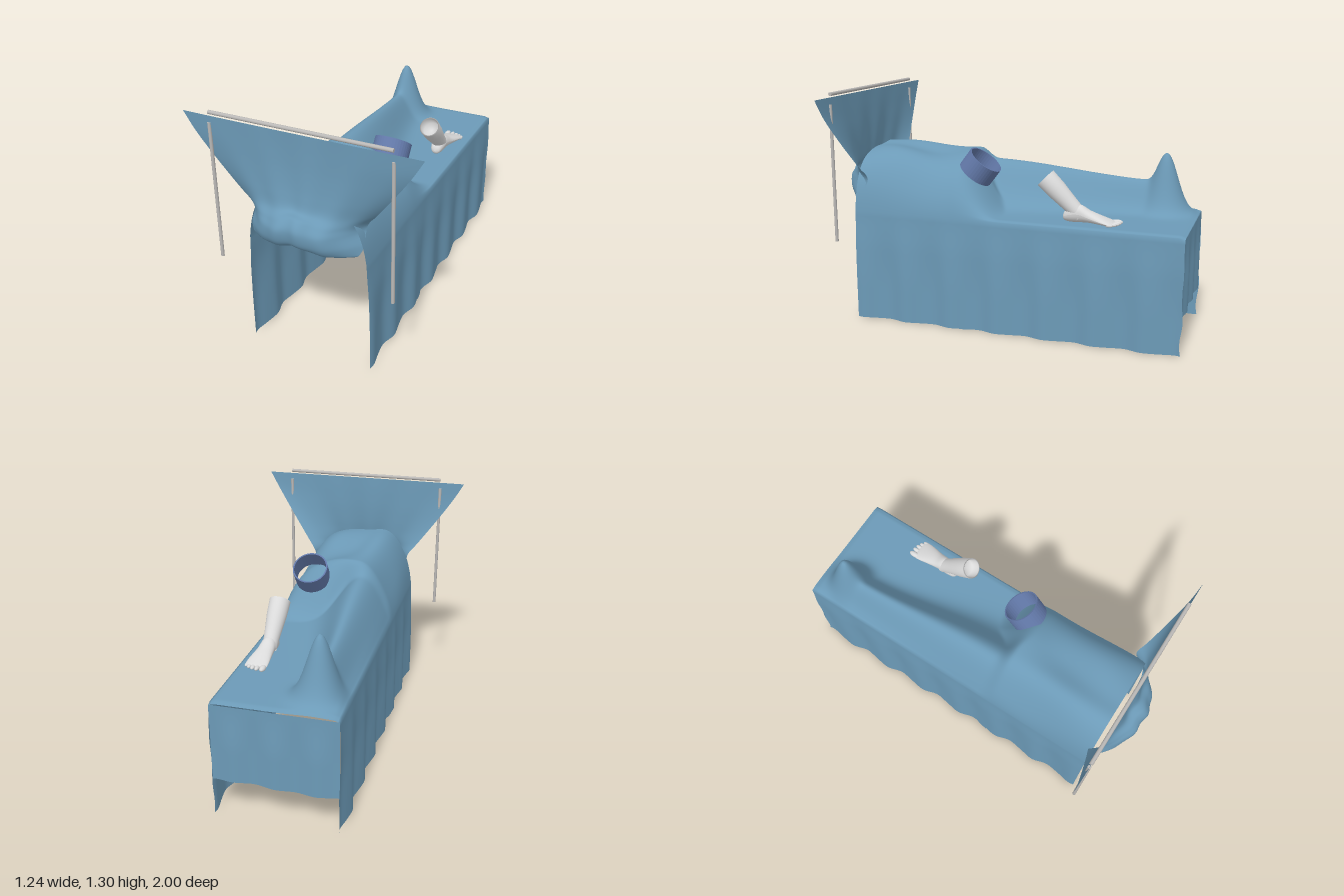
import * as THREE from 'three';

const lerp = THREE.MathUtils.lerp;
const step = THREE.MathUtils.smoothstep;

// Smooth surface from a rule: fn(u, v) -> [x, y, z]
function surface(nu, nv, fn) {
  const pos = [], idx = [];
  for (let j = 0; j <= nv; j++)
    for (let i = 0; i <= nu; i++) pos.push(...fn(i / nu, j / nv));
  for (let j = 0; j < nv; j++)
    for (let i = 0; i < nu; i++) {
      const a = j * (nu + 1) + i, b = a + 1, c = a + nu + 1, d = c + 1;
      idx.push(a, c, b, b, c, d);
    }
  const g = new THREE.BufferGeometry();
  g.setAttribute('position', new THREE.Float32BufferAttribute(pos, 3));
  g.setIndex(idx);
  g.computeVertexNormals();
  return g;
}

// Smoothly sampled table of cross-sections
function sampler(rows) {
  return (t) => {
    const f = t * (rows.length - 1);
    const i = Math.min(Math.floor(f), rows.length - 2), k = f - i;
    const at = (n) => rows[THREE.MathUtils.clamp(n, 0, rows.length - 1)];
    return rows[0].map((_, c) => {
      const [p, q, r, s] = [at(i - 1)[c], at(i)[c], at(i + 1)[c], at(i + 2)[c]];
      return q + 0.5 * k * (r - p + k * (2 * p - 5 * q + 4 * r - s + k * (3 * (q - r) + s - p)));
    });
  };
}

const TABLE = 0.63, HALF = 0.322, BACK = -0.985, FRONT = 0.85;

// Height of the cloth over the table: torso, covered leg, upright foot
function clothHeight(x, z) {
  const q = Math.min(Math.abs(x) / HALF, 1);
  const side = step(x, -0.08, 0.06);
  const gate = step(z, lerp(0.1, 0.0, side), lerp(0.26, 0.29, side));
  const p = lerp(2.2, 4, step(z, 0.3, 0.85));
  const crest = 0.305 + 0.012 * Math.sin(z * 11) + 0.008 * Math.sin(x * 17 + z * 9);
  const torso = gate * crest * Math.pow(1 - Math.pow(q, p), 0.75);

  const t = step(z, -0.75, 0.2);
  const w = lerp(0.085, 0.16, t);
  const leg = lerp(0.175, 0.25, t) * Math.exp(-Math.pow((x + lerp(0.19, 0.15, t)) / w, 2))
    * step(z, -0.9, -0.72) * (1 - Math.pow(q, 8));
  const foot = 0.333 * Math.exp(-((x + 0.18) ** 2 + (z + 0.8) ** 2) / 0.0081) * (1 - Math.pow(q, 8));
  return TABLE + Math.pow(torso ** 4 + leg ** 4 + foot ** 4, 0.25);
}

// Half width of the hanging cloth, with folds that deepen toward the hem
function hangX(y, z) {
  const d = 1 - y / TABLE;
  return HALF + 0.007 * step(d, 0, 0.35)
    + 0.011 * step(d, 0, 0.7) * Math.cos(z * 23.3) + 0.002 * d * Math.sin(z * 47);
}

function drapePoint(u, v) {
  const z = lerp(BACK, FRONT, v);
  if (u >= 0.2 && u <= 0.8) {
    const x = lerp(-HALF, HALF, (u - 0.2) / 0.6);
    const edge = step(Math.abs(x), HALF - 0.03, HALF) * 0.008;
    return [x, clothHeight(x, z) - edge - 0.008 * (1 - step(z, BACK, BACK + 0.03)), z];
  }
  const s = u < 0.5 ? -1 : 1;
  const y = (TABLE - 0.008) * (u < 0.5 ? u : 1 - u) / 0.2;
  const ripple = 0.008 * Math.sin(y * 25) * (1 - step(v, 0, 0.02)) * (1 - y / TABLE);
  return [s * hangX(y, z), y, z + ripple];
}

// Cloth screen, rows from the top edge down to the curled lip:
// height, half width, centre z, edge z, centre lift
const screenRow = sampler([
  [1.268, 0.618, 0.89, 0.89, 0],
  [1.17, 0.56, 0.888, 0.88, 0],
  [1.06, 0.485, 0.89, 0.855, 0],
  [0.95, 0.405, 0.9, 0.825, 0],
  [0.87, 0.345, 0.918, 0.8, 0.01],
  [0.82, 0.305, 0.965, 0.78, 0.04],
  [0.78, 0.292, 0.995, 0.785, 0.03],
  [0.72, 0.3, 0.985, 0.82, 0.02],
  [0.675, 0.285, 0.95, 0.85, 0.03],
  [0.665, 0.26, 0.905, 0.86, 0.035],
  [0.69, 0.25, 0.875, 0.865, 0.03],
]);

function screenPoint(u, v) {
  const [y, w, zc, ze, lift] = screenRow(v);
  const s = u * 2 - 1, a = Math.abs(s);
  const edge = s < 0 ? lerp(0.88, ze, 0.5) : ze;
  const fold = Math.sin(v * Math.PI) * (1 - a) * 0.007 * Math.sin(s * 15);
  return [s * w, y + lift * Math.exp(-((s / 0.33) ** 2)), lerp(zc, edge, Math.pow(a, 2.6)) + fold];
}

// Bare foot, heel to toes: z, half width, sole, instep, centre x
const footRow = sampler([
  [-0.325, 0.003, 0.655, 0.664, 0.205],
  [-0.335, 0.026, 0.639, 0.69, 0.205],
  [-0.37, 0.038, 0.633, 0.722, 0.206],
  [-0.42, 0.04, 0.635, 0.728, 0.208],
  [-0.47, 0.045, 0.637, 0.702, 0.212],
  [-0.52, 0.053, 0.635, 0.683, 0.217],
  [-0.57, 0.059, 0.633, 0.664, 0.22],
  [-0.6, 0.052, 0.633, 0.652, 0.22],
  [-0.606, 0.003, 0.64, 0.645, 0.22],
]);

function footPoint(u, v) {
  const [z, w, lo, hi, xc] = footRow(v);
  const a = u * Math.PI * 2;
  return [xc + w * Math.cos(a), (lo + hi) / 2 + (hi - lo) / 2 * Math.sin(a), z];
}

export function createModel() {
  const model = new THREE.Group();
  const mat = (name, color, open) => {
    const m = new THREE.MeshStandardMaterial({ color });
    m.name = name;
    if (open) m.side = THREE.DoubleSide;
    return m;
  };
  const cloth = mat('blue cloth', 0x6c9ab7, true);
  const cuffBlue = mat('cuff blue', 0x6278a8, true);
  const skin = mat('pale skin', 0xdadada, true);
  const metal = mat('pole grey', 0xbab8b6);

  const add = (name, geo, material, parent = model) => {
    const m = new THREE.Mesh(geo, material);
    m.name = name;
    parent.add(m);
    return m;
  };

  // Main drape over the table, with the hanging end
  add('bodyDrape', surface(110, 150, drapePoint), cloth);
  add('endDrape', surface(60, 24, (u, v) => {
    const x = lerp(HALF, -HALF, u), y = lerp(TABLE - 0.014, 0.2 + 0.006 * Math.sin(x * 9), v);
    return [x, y, BACK - 0.012 * step(v, 0, 0.6) * (0.4 + 0.6 * Math.cos(x * 30))];
  }), cloth);

  // Overlapping seam strip on each side
  for (const s of [-1, 1])
    add(s < 0 ? 'rightSeamStrip' : 'leftSeamStrip', surface(6, 20, (u, v) => {
      const z = 0.16 + 0.06 * u, y = 0.6 * (1 - v);
      return [s * (hangX(y, z) + 0.004), y, z];
    }), cloth);

  // Raised cloth screen at the head end
  add('headScreen', surface(80, 70, screenPoint), cloth);

  // Frame poles
  const poles = new THREE.Group();
  poles.name = 'screenFrame';
  model.add(poles);
  const bar = add('topBar', new THREE.CylinderGeometry(0.01, 0.01, 0.945, 16), metal, poles);
  bar.rotation.z = Math.PI / 2;
  bar.position.set(0, 1.286, 0.885);
  for (const s of [-1, 1]) {
    const pole = add(s < 0 ? 'rightPole' : 'leftPole',
      new THREE.CylinderGeometry(0.009, 0.009, 0.75, 16), metal, poles);
    pole.position.set(s * 0.474, 0.857, 0.885);
  }

  // Thigh cuff: a thin tilted ring
  const ring = [[0.092, -0.052], [0.1, -0.052], [0.1, 0.052], [0.092, 0.052], [0.092, -0.052]];
  const cuff = add('thighCuff',
    new THREE.LatheGeometry(ring.map(([r, y]) => new THREE.Vector2(r, y)), 40).toNonIndexed(), cuffBlue);
  cuff.geometry.computeVertexNormals();
  cuff.rotation.x = -0.65;
  cuff.position.set(0.142, 0.882, 0.165);

  // Exposed lower leg and foot
  const leg = new THREE.Group();
  leg.name = 'exposedLowerLeg';
  model.add(leg);
  const shinProfile = [[0.04, -0.02], [0.041, 0.03], [0.047, 0.1], [0.054, 0.17], [0.057, 0.255], [0.05, 0.255], [0.046, 0.2], [0, 0.2]];
  const shin = add('shin', new THREE.LatheGeometry(
    shinProfile.map(([r, y]) => new THREE.Vector2(r, y)), 28), skin, leg);
  shin.rotation.x = 0.8;
  shin.position.set(0.205, 0.68, -0.41);
  add('foot', surface(28, 40, footPoint), skin, leg);
  for (let i = 0; i < 5; i++) {
    const r = i === 0 ? 0.016 : 0.0125 - i * 0.0005;
    const toe = add('toe', new THREE.SphereGeometry(r, 14, 10), skin, leg);
    toe.scale.set(1, 0.85, 2);
    toe.position.set([0.178, 0.207, 0.231, 0.252, 0.27][i], 0.643, [-0.61, -0.615, -0.61, -0.6, -0.587][i]);
  }
  return model;
}
